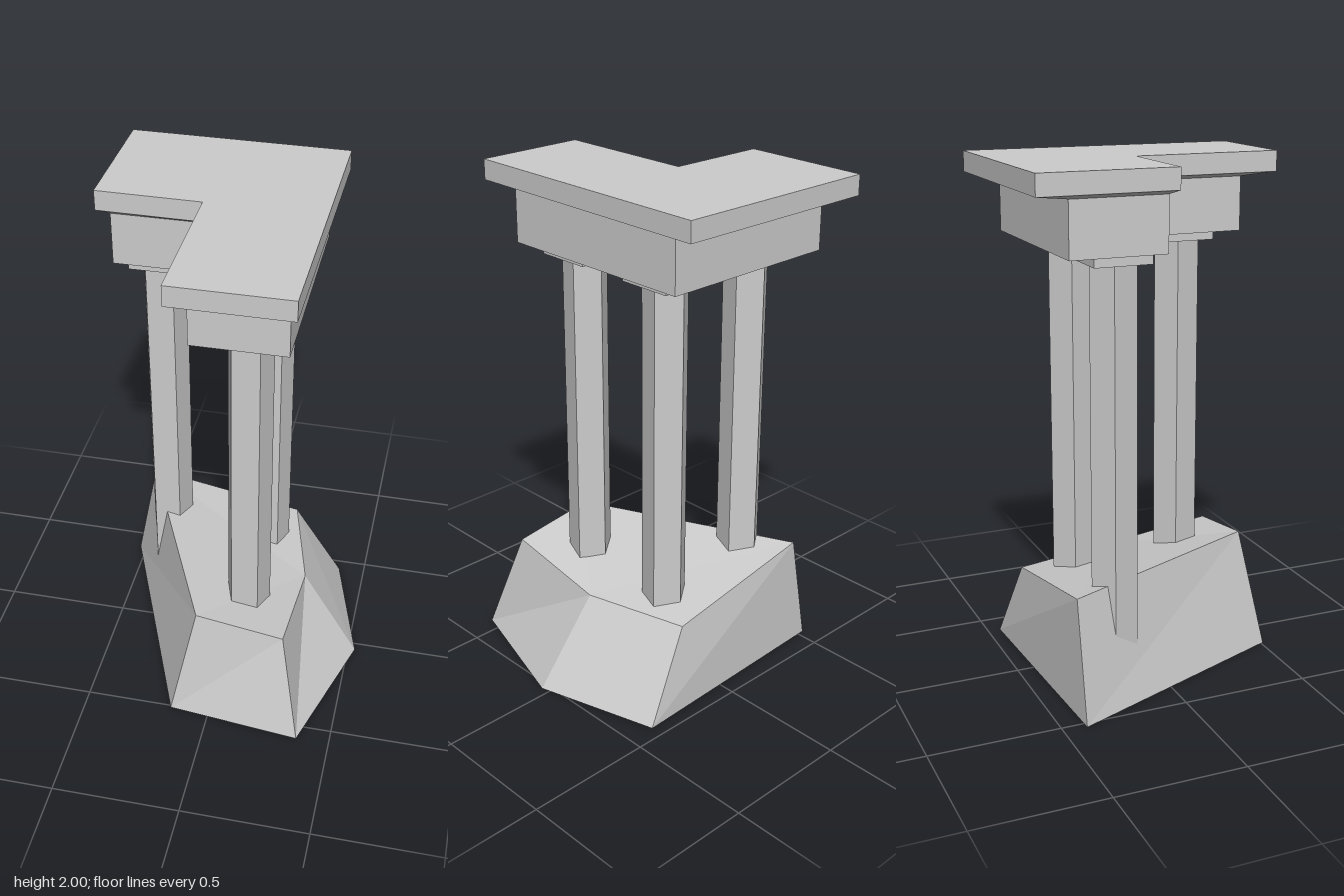
import * as THREE from 'three';

const material = new THREE.MeshStandardMaterial({ color: 0xcccccc, flatShading: true, side: THREE.DoubleSide });

// Joins rings of [x, y, z] corners (counter-clockwise from above, lowest first).
function loft(rings, topFaces, bottomFaces = []) {
  const n = rings[0].length;
  const top = (rings.length - 1) * n;
  const index = [];
  for (let r = 0; r < rings.length - 1; r++) {
    for (let i = 0; i < n; i++) {
      const a = r * n + i;
      const b = r * n + (i + 1) % n;
      index.push(a, b, b + n, a, b + n, a + n);
    }
  }
  topFaces.forEach(([a, b, c]) => index.push(top + a, top + b, top + c));
  bottomFaces.forEach(([a, b, c]) => index.push(a, c, b));
  const geometry = new THREE.BufferGeometry();
  geometry.setAttribute('position', new THREE.Float32BufferAttribute(rings.flat(2), 3));
  geometry.setIndex(index);
  const flat = geometry.toNonIndexed();
  flat.computeVertexNormals();
  return flat;
}

export function createModel() {
  const model = new THREE.Group();
  model.name = 'ruinedColonnade';

  const add = (name, geometry, x = 0, y = 0, z = 0) => {
    const mesh = new THREE.Mesh(geometry, material);
    mesh.name = name;
    mesh.position.set(x, y, z);
    model.add(mesh);
  };

  // Irregular five-sided rock, open underneath
  const foot = [[0.37, 0, 0.565], [0.53, 0, 0.035], [0.39, 0, -0.45], [-0.53, 0, -0.41], [-0.155, 0, 0.51]];
  const crown = [[0.285, 0.415, 0.44], [0.3, 0.35, 0], [0.194, 0.35, -0.41], [-0.44, 0.467, -0.41], [-0.06, 0.467, 0.435]];
  add('rockBase', loft([foot, crown], [[4, 0, 1], [4, 1, 3], [3, 1, 2]]));

  // Pentagonal columns, sunk into the rock, each with a square capital
  const bottom = 0.14;
  const capitalBottom = 1.66;
  const shaft = new THREE.CylinderGeometry(0.089, 0.089, capitalBottom - bottom, 5);
  shaft.rotateY(Math.PI);
  const capital = new THREE.BoxGeometry(0.216, 0.04, 0.22);
  for (const [name, x, z] of [['backRight', -0.318, -0.217], ['backLeft', 0.102, -0.217], ['frontLeft', 0.102, 0.217]]) {
    add(name + 'Column', shaft, x, (bottom + capitalBottom) / 2, z);
    add(name + 'Capital', capital, x + 0.003, capitalBottom + 0.02, z);
  }

  // L-shaped beam flaring out into a wider, slightly skewed slab
  const beam = [[0.275, 0.403], [0.275, -0.435], [-0.47, -0.435], [-0.47, -0.07], [-0.075, -0.07], [-0.075, 0.403]];
  const slab = [[0.317, 0.53], [0.328, -0.557], [-0.515, -0.564], [-0.52, -0.05], [-0.123, -0.045], [-0.125, 0.528]];
  const at = (outline, y) => outline.map(([x, z]) => [x, y, z]);
  const faces = THREE.ShapeUtils.triangulateShape(beam.map(([x, z]) => new THREE.Vector2(x, -z)), []);
  add('entablature', loft([at(beam, 1.7), at(beam, 1.905), at(slab, 1.922), at(slab, 2)], faces, faces));

  return model;
}
